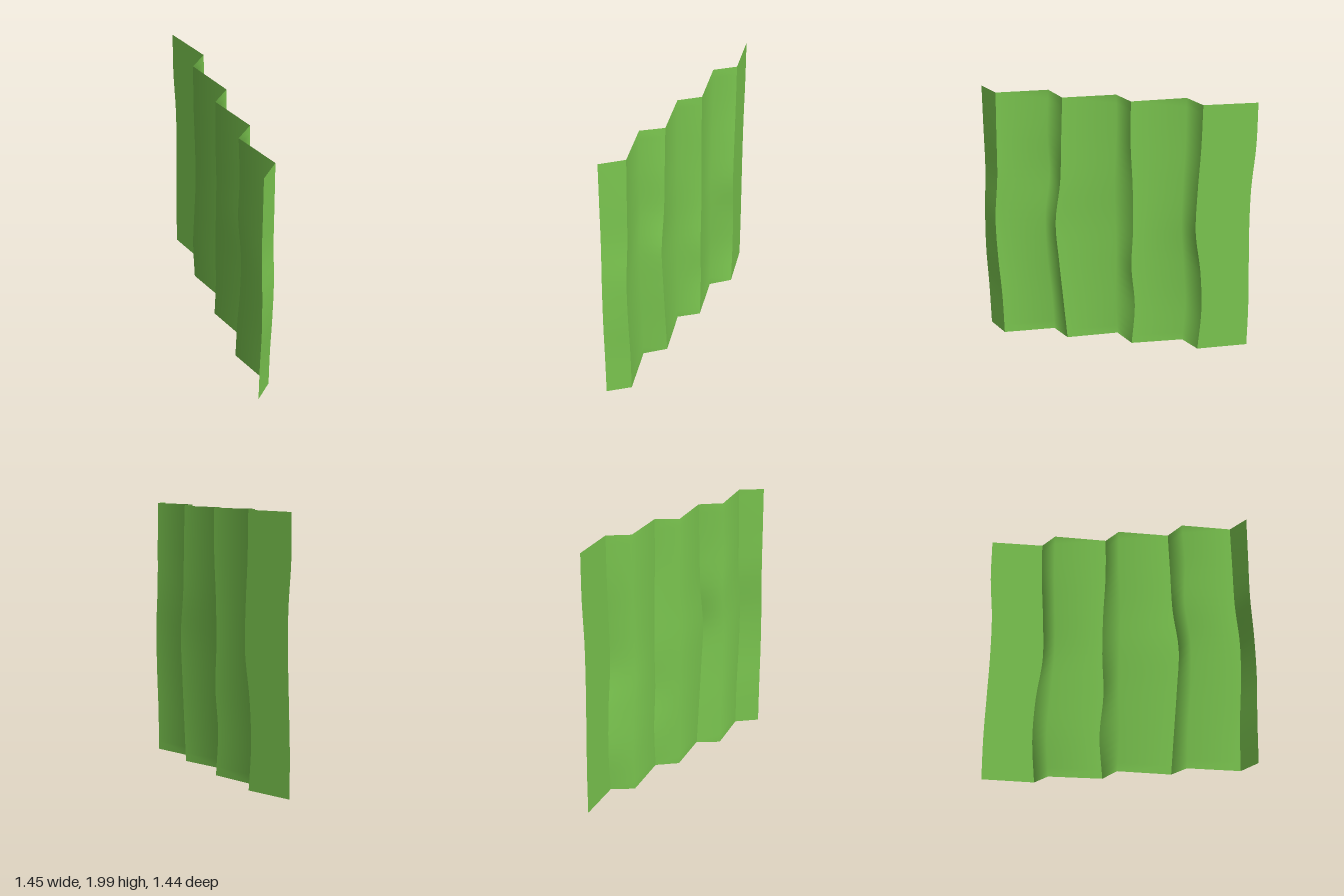
import * as THREE from 'three';

const ROWS = 30;

// Sideways sway of each fold line from top to bottom, in hundredths
const sway = [
  [0, 0, 2, 2, 1, 0, 0],
  [-.5, 0, 1.5, 2, -2, -3.5, -1.5],
  [0, 0, 1, 1.5, -.5, -2.5, -1],
  [0, 0, -1.5, -2, -1, -3.5, -1.5],
  [0, 0, 1, .5, 0, .5, -1],
  [-1, 0, 1, 4, 2.5, .5, -1.5],
  [-1, .5, -.5, 3, 2.5, 0, -1.5],
  [-2.5, -2, -1.5, .5, 0, -1.5, -2],
  [-2, -2, -2, -.5, 0, -1, -1.5],
];

// Fold line i of the diagonal zigzag: a smooth curve swaying along its slanted panel
function foldCurve(offsets, i) {
  const x = -.72 + .36 * Math.floor((i + 1) / 2);
  const z = -.72 + .18 * i;
  const slope = i === 5 || i === 7 ? .9 : .5;
  const top = 1.995 + .004 * Math.sin(i * 1.1);
  const bottom = .009 + .005 * Math.cos(i * 1.5);
  return new THREE.CatmullRomCurve3(offsets.map((o, k) => new THREE.Vector3(
    x + o / 100,
    THREE.MathUtils.lerp(top, bottom, k / (offsets.length - 1)),
    z + o / 100 * slope)));
}

// Sheet surface stretched between neighbouring fold lines
function panelGeometry(curves) {
  const n = curves.length, pos = [], index = [];
  for (let r = 0; r <= ROWS; r++)
    for (const c of curves) pos.push(...c.getPoint(r / ROWS).toArray());
  for (let r = 0; r < ROWS; r++)
    for (let c = 0; c < n - 1; c++) {
      const a = r * n + c, b = a + n;
      index.push(a, b, a + 1, b, b + 1, a + 1);
    }
  const geo = new THREE.BufferGeometry();
  geo.setAttribute('position', new THREE.Float32BufferAttribute(pos, 3));
  geo.setIndex(index);
  geo.computeVertexNormals();
  return geo;
}

export function createModel() {
  const group = new THREE.Group();
  group.name = 'pleatedSheet';
  const material = new THREE.MeshStandardMaterial({ color: 0x7cc850, side: THREE.DoubleSide });
  const curves = sway.map(foldCurve);

  // Outer folds are sharp; each inner fold is shaded softly within its pleat
  const pleats = [[0, 1], [1, 3], [3, 5], [5, 7], [7, 8]];
  pleats.forEach(([from, to], i) => {
    const mesh = new THREE.Mesh(panelGeometry(curves.slice(from, to + 1)), material);
    mesh.name = `pleat${i + 1}`;
    group.add(mesh);
  });
  return group;
}
